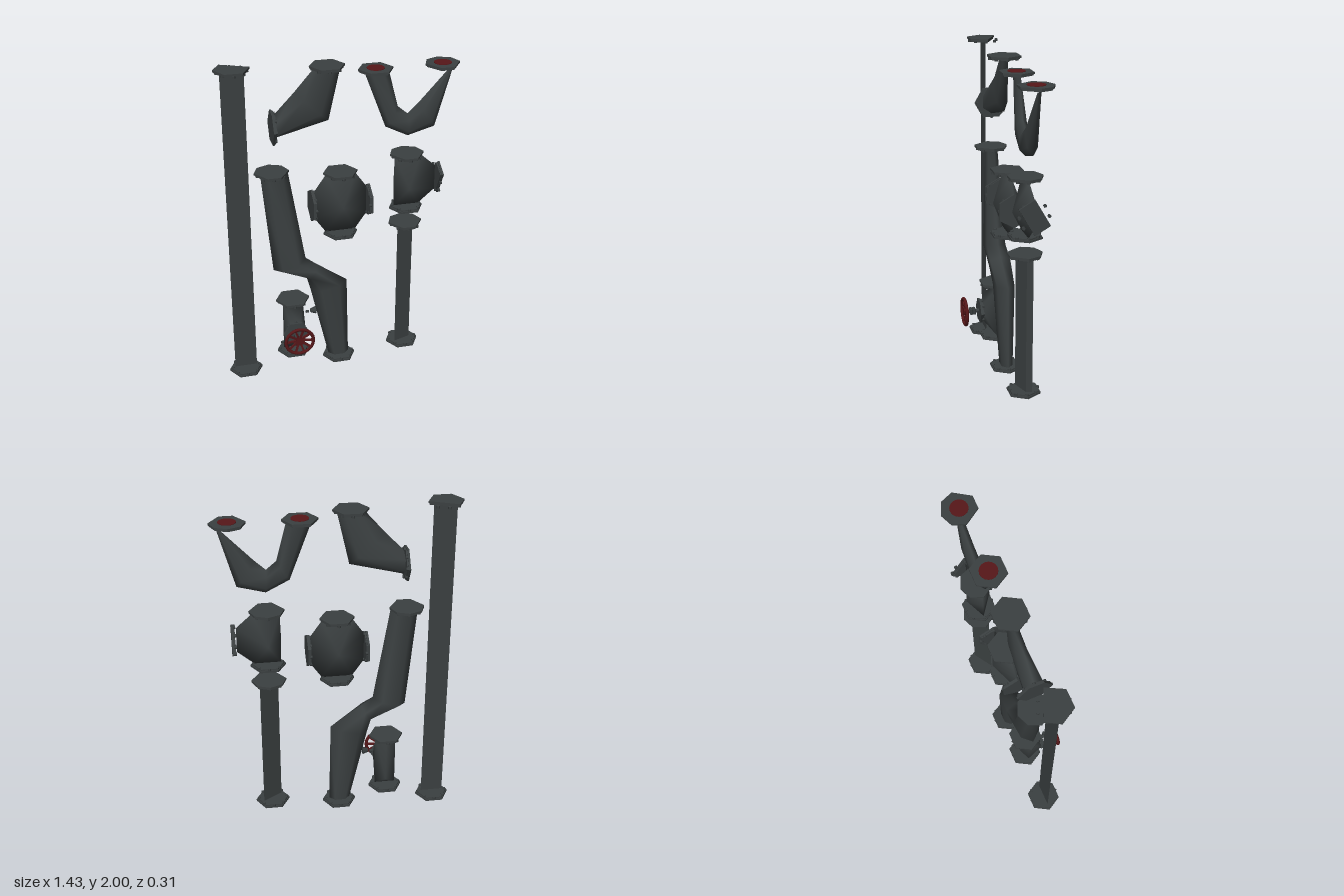
import * as THREE from 'three';
import { mergeVertices } from 'three/addons/utils/BufferGeometryUtils.js';
import { ConvexGeometry } from 'three/addons/geometries/ConvexGeometry.js';

const Z = -0.054; // common axis plane of the pipes
const V = (x, y, z = Z) => new THREE.Vector3(x, y, z);
const UP = V(0, 1, 0), DOWN = V(0, -1, 0), LEFT = V(1, 0, 0), RIGHT = V(-1, 0, 0), FRONT = V(0, 0, 1);
const HEX = [0, 60, 120, 180, 240, 300];
const WORN = [0, 67, 112, 180, 225, 270, 315]; // uneven seven-sided plate

export function createModel() {
  const iron = new THREE.MeshStandardMaterial({ color: 0x3b4041, side: THREE.DoubleSide });
  iron.name = 'dark iron';
  const red = new THREE.MeshStandardMaterial({ color: 0x571719 });
  red.name = 'dark red';
  const root = new THREE.Group();

  function add(name, geo, mat = iron, pos = null, parent = root) {
    const m = new THREE.Mesh(geo, mat);
    m.name = name;
    if (pos) m.position.copy(pos);
    parent.add(m);
    return m;
  }

  function smooth(geo) {
    geo.deleteAttribute('normal');
    const g = mergeVertices(geo, 1e-4);
    g.computeVertexNormals();
    return g;
  }

  // prism around +y with corners at the given angles
  function plate(r, h, y, angles) {
    const pts = [];
    for (const deg of angles) {
      const a = THREE.MathUtils.degToRad(deg);
      for (const s of [-h / 2, h / 2]) pts.push(V(r * Math.cos(a), y + s, r * Math.sin(a)));
    }
    return new ConvexGeometry(pts);
  }

  // stepped flange with bolts; pos is its outer face, dir points outward
  function flange(name, pos, dir, { r = 0.104, angles = HEX, bolts = true } = {}) {
    const g = new THREE.Group();
    g.name = name;
    g.position.copy(pos);
    g.quaternion.setFromUnitVectors(UP, dir);
    add('flangePlate', plate(r, 0.012, -0.006, angles), iron, null, g);
    add('flangeCollar', plate(r * 0.93, 0.008, -0.016, angles), iron, null, g);
    if (bolts) for (let k = 0; k < 8; k++) {
      const a = k * Math.PI / 4;
      add('bolt', new THREE.CylinderGeometry(0.01, 0.01, 0.014, 6), iron,
        V(r * 0.82 * Math.cos(a), -0.018, r * 0.82 * Math.sin(a)), g);
    }
    root.add(g);
  }

  // bent pipe: sections [left x, left y, right x, right y, half depth], hexagonal rings
  function bentPipe(name, sections) {
    const pos = [], idx = [], n = 6;
    const ring = [[0, 0], [0.25, 1], [0.75, 1], [1, 0], [0.75, -1], [0.25, -1]];
    for (const [ax, ay, bx, by, d] of sections)
      for (const [t, s] of ring) pos.push(ax + (bx - ax) * t, ay + (by - ay) * t, Z + s * d);
    for (let i = 0; i < sections.length - 1; i++)
      for (let j = 0; j < n; j++) {
        const p0 = i * n + j, p1 = i * n + (j + 1) % n;
        idx.push(p0, p0 + n, p1 + n, p0, p1 + n, p1);
      }
    const g = new THREE.BufferGeometry();
    g.setAttribute('position', new THREE.Float32BufferAttribute(pos, 3));
    g.setIndex(idx);
    g.computeVertexNormals();
    add(name, g);
  }

  // faceted fitting body: thin outline swelling to the given raised points
  function fitting(name, outline, raised) {
    const pts = outline.map(([x, y]) => V(x, y));
    add(name, smooth(new ConvexGeometry([...pts, ...raised])));
  }

  // long pipe, flattened to a sheet
  add('longPipe', new THREE.PlaneGeometry(0.137, 1.95), iron, V(-0.617, 1));
  flange('longPipeTopFlange', V(-0.617, 2), UP, { angles: [-5, 60, 120, 180, 235] });
  flange('longPipeBottomFlange', V(-0.617, 0), DOWN);

  // short pipe, a narrow oblique prism
  const prism = [];
  for (const [x, z] of [[-0.058, 0.037], [0.058, -0.037], [0.05, 0]])
    for (const y of [0.075, 0.915]) prism.push(V(0.41 + x, y, Z + z));
  add('shortPipe', new ConvexGeometry(prism));
  flange('shortPipeTopFlange', V(0.41, 0.932), UP, { angles: WORN });
  flange('shortPipeBottomFlange', V(0.41, 0.055), DOWN);

  // elbow
  bentPipe('elbow', [
    [-0.16, 1.955, 0, 1.955, 0.015], [-0.27, 1.83, -0.07, 1.645, 0.033], [-0.385, 1.71, -0.385, 1.565, 0.055]]);
  flange('elbowTopFlange', V(-0.077, 1.978), UP);
  flange('elbowSideFlange', V(-0.408, 1.63), RIGHT, { angles: [-20, 30, 90, 150, 210, 270] });

  // U bend with capped ends
  bentPipe('uBend', [
    [0.14, 1.92, 0.285, 1.92, 0.012], [0.272, 1.57, 0.345, 1.69, 0.03], [0.41, 1.5, 0.405, 1.64, 0.035],
    [0.574, 1.545, 0.47, 1.7, 0.03], [0.675, 1.91, 0.66, 1.9, 0.01]]);
  for (const [x, angles] of [[0.208, HEX], [0.61, WORN]]) {
    flange('uBendFlange', V(x, 1.935), UP, { bolts: false, angles });
    add('redCap', new THREE.CylinderGeometry(0.052, 0.052, 0.004, 16), red, V(x, 1.936));
  }

  // offset pipe
  bentPipe('offsetPipe', [
    [-0.48, 1.335, -0.315, 1.335, 0.03], [-0.42, 0.695, -0.22, 0.755, 0.06], [-0.215, 0.615, -0.15, 0.7, 0.065],
    [-0.19, 0.52, 0.04, 0.565, 0.055], [-0.08, 0.03, 0.05, 0.03, 0.035]]);
  flange('offsetTopFlange', V(-0.413, 1.355), UP, { angles: WORN });
  flange('offsetBottomFlange', V(-0.013, 0.012), DOWN);

  // four-way cross
  const cy = 1.107, octagon = [];
  for (const sx of [-1, 1]) for (const sy of [-1, 1])
    octagon.push([sx * 0.092, cy + sy * 0.187], [sx * 0.16, cy + sy * 0.09]);
  fitting('crossBody', octagon, [V(0, cy, Z + 0.085), V(0, cy, Z - 0.085)]);
  flange('crossTopFlange', V(0, 1.313), UP);
  flange('crossBottomFlange', V(0, 0.9), DOWN);
  flange('crossLeftFlange', V(0.182, cy), LEFT);
  flange('crossRightFlange', V(-0.182, cy), RIGHT);

  // tee
  fitting('teeBody', [[0.335, 1.37], [0.495, 1.37], [0.59, 1.285], [0.59, 1.13], [0.49, 1.045], [0.335, 1.045], [0.33, 1.2]],
    [V(0.41, 1.18, Z + 0.075), V(0.41, 1.18, Z - 0.075)]);
  flange('teeTopFlange', V(0.41, 1.388), UP, { angles: WORN });
  flange('teeBottomFlange', V(0.41, 1.026), DOWN);
  flange('teeSideFlange', V(0.618, 1.207), LEFT, { angles: [0, 120, 180, 300] });

  // valve body with bonnet
  const vx = -0.307, vy = 0.285;
  const mouth = HEX.map(d => THREE.MathUtils.degToRad(d))
    .map(a => V(vx + 0.062 * Math.cos(a), vy + 0.062 * Math.sin(a), 0.035));
  fitting('valveBody', [[vx - 0.063, 0.455], [vx + 0.063, 0.455], [vx + 0.063, 0.12], [vx - 0.063, 0.12]],
    [...mouth, V(vx, 0.42, Z - 0.035), V(vx, 0.16, Z - 0.035)]);
  flange('valveTopFlange', V(vx, 0.48), UP);
  flange('valveBottomFlange', V(vx, 0.098), DOWN);
  flange('bonnetFlange', V(vx, vy, 0.054), FRONT, { r: 0.08 });

  // stem with packing nuts
  add('valveStem', new THREE.CylinderGeometry(0.008, 0.014, 0.09, 8).rotateX(Math.PI / 2), iron, V(vx, vy, 0.09));
  for (const s of [-1, 1]) for (const z of [0.085, 0.105])
    add('glandNut', new THREE.CylinderGeometry(0.011, 0.011, 0.036, 6), iron, V(vx + s * 0.013, vy, z));

  // dished handwheel
  const wheel = new THREE.Group();
  wheel.name = 'handwheel';
  wheel.position.set(vx, vy, 0.147);
  root.add(wheel);
  add('wheelRim', new THREE.TorusGeometry(0.086, 0.0105, 6, 20), red, null, wheel);
  add('wheelHub', new THREE.CylinderGeometry(0.026, 0.013, 0.034, 10).rotateX(Math.PI / 2), red, V(0, 0, -0.01), wheel);
  for (let i = 0; i < 10; i++) {
    const arm = new THREE.Group();
    arm.name = 'wheelArm';
    arm.rotation.z = i * Math.PI / 5;
    wheel.add(arm);
    add('wheelSpoke', new THREE.BoxGeometry(0.072, 0.012, 0.011), red, V(0.05, 0, -0.007), arm).rotation.y = -0.14;
  }

  // loose bolt beside the valve
  add('looseBoltHead', new THREE.CylinderGeometry(0.012, 0.024, 0.035, 6).rotateZ(Math.PI / 2), iron, V(-0.178, 0.37));
  add('looseBoltTip', new THREE.CylinderGeometry(0.008, 0.008, 0.02, 6).rotateZ(Math.PI / 2), iron, V(-0.215, 0.365));

  return root;
}
